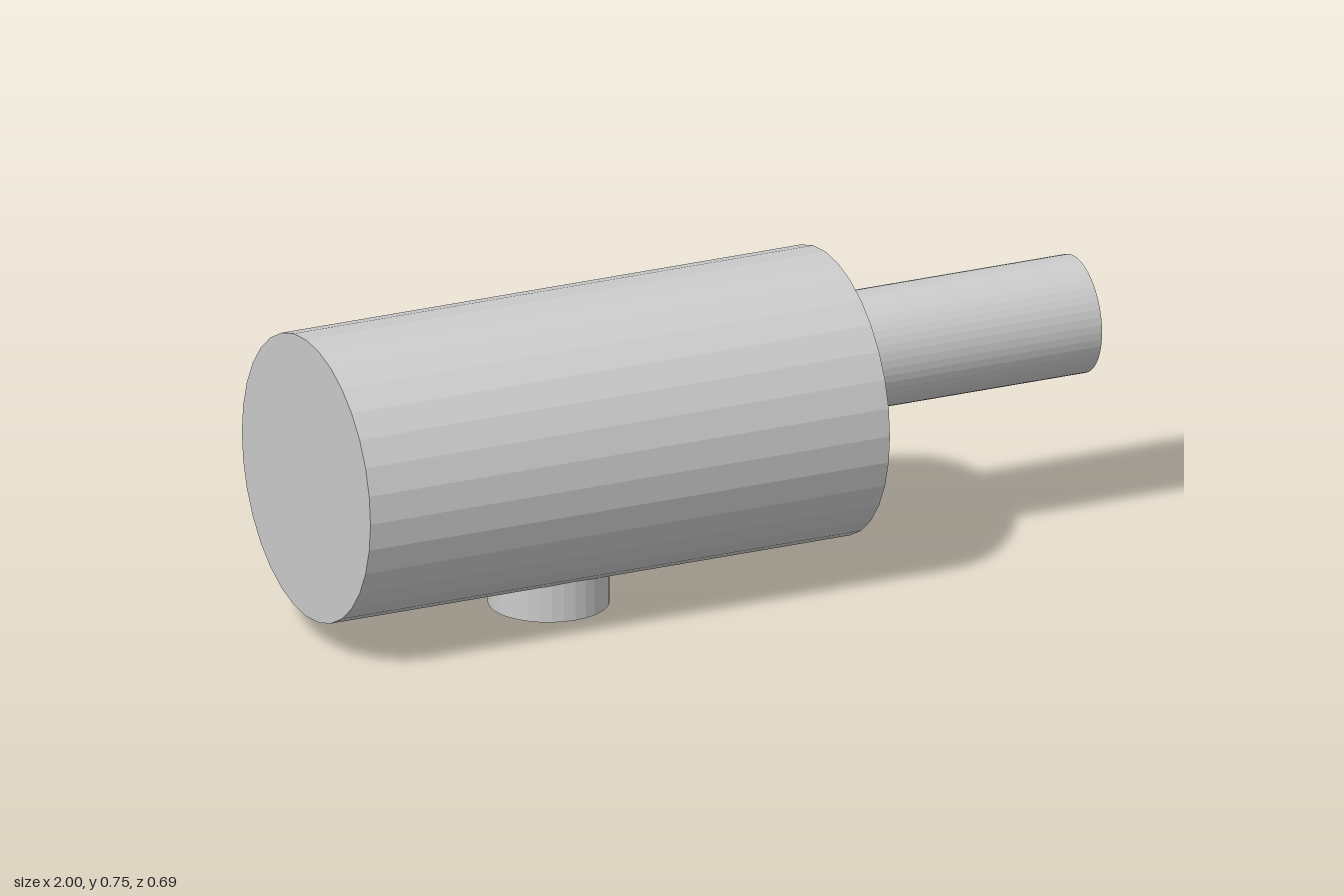
import * as THREE from 'three';

const material = new THREE.MeshStandardMaterial({ color: 0xcccccc, flatShading: true });

// Faceted turned part: profile is [radius, height] going up the outside and back down the inside
function turned(name, profile, sides) {
  const points = profile.map(([r, h]) => new THREE.Vector2(r, h));
  const mesh = new THREE.Mesh(new THREE.LatheGeometry(points, sides), material);
  mesh.name = name;
  return mesh;
}

export function createModel() {
  const model = new THREE.Group();
  model.name = 'cylinderWithPipes';

  // Main drum: closed at the right end, tapered recess with a flat floor at the left end
  const drum = turned('drum', [[0, -1], [0.345, -1], [0.345, 0.35], [0.3, 0.08], [0, 0.08]], 32);
  drum.rotation.z = -Math.PI / 2;
  drum.position.y = 0.41;

  // Long hollow pipe rising off-centre from the recess floor
  const pipe = turned('longPipe', [[0.141, 0.08], [0.141, 1], [0.09, 1], [0.09, 0.08]], 48);
  pipe.rotation.z = -Math.PI / 2;
  pipe.position.y = 0.495;

  // Short hollow outlet under the drum, its bore ending at the drum wall
  const outlet = turned('bottomOutlet', [[0.095, 0.11], [0.095, 0], [0.143, 0], [0.143, 0.11]], 32);
  outlet.position.x = -0.37;

  model.add(drum, pipe, outlet);
  return model;
}
